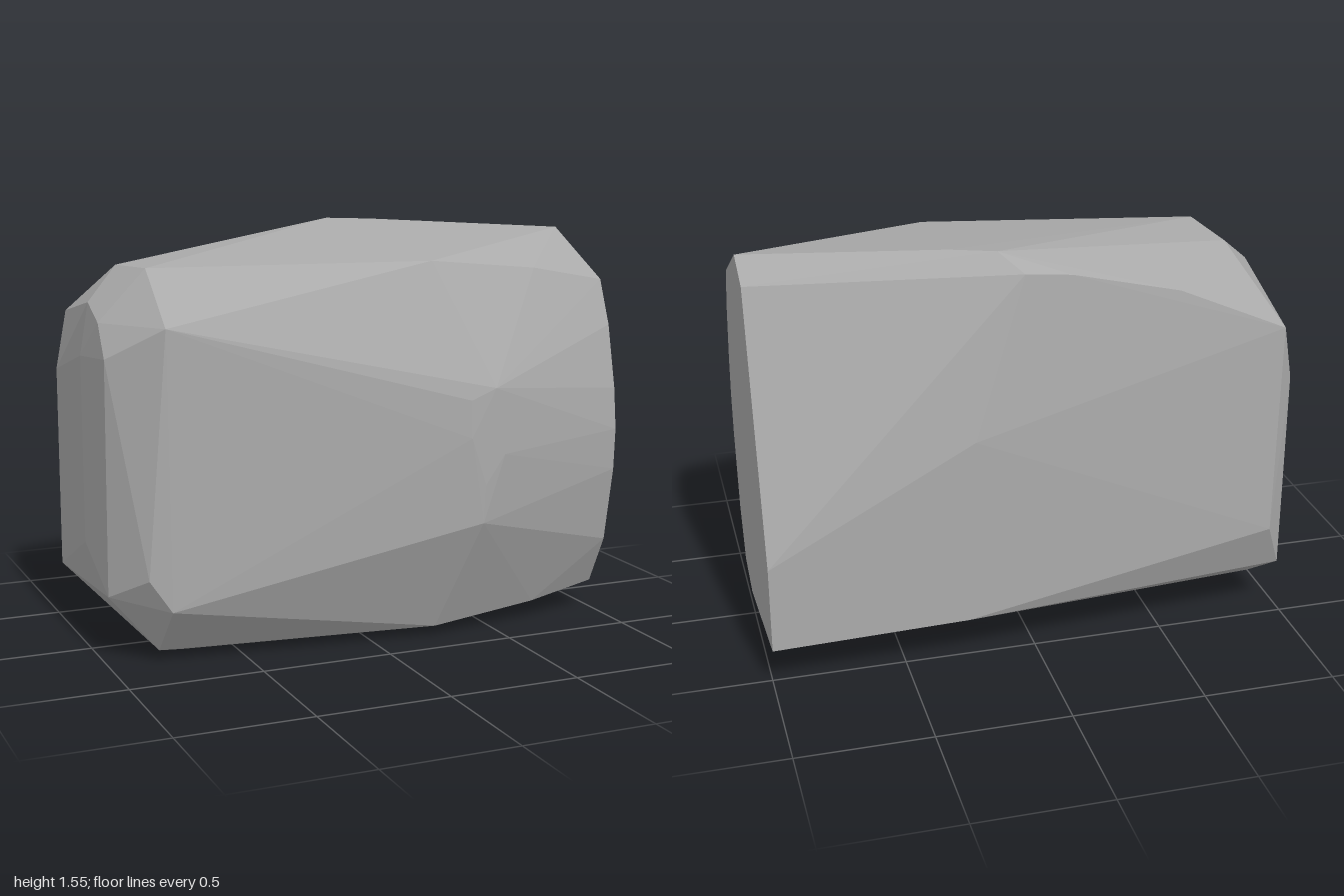
import * as THREE from 'three';
import { ConvexGeometry } from 'three/addons/geometries/ConvexGeometry.js';

// Flat cut end at x = 1, as [y, z] corners
const cutEnd = [
  [1.51, -0.085], [1.45, -0.26], [0.49, -0.56], [0.16, -0.56], [0.055, 0.07], [0.11, 0.25],
  [0.305, 0.35], [0.6, 0.405], [0.76, 0.413], [0.92, 0.395], [1.16, 0.34], [1.33, 0.27],
].map(([y, z]) => [1, y, z]);

// Blunt nose on the front side
const frontBulge = [
  [0.4, 0.98, 0.55], [0.3, 0.94, 0.55], [0.3, 0.8, 0.557],
  [0.44, 0.73, 0.55], [0.36, 0.62, 0.555], [0.355, 0.475, 0.55],
];

// Crown: front rim, ridge and the curved rear rim
const crown = [
  [0.23, 1.435, 0.345], [0.68, 1.39, 0.31], [0.12, 1.55, -0.4], [0.28, 1.547, -0.33],
  [0.04, 1.485, -0.48], [-0.13, 1.47, -0.485], [-0.53, 1.38, -0.5], [-0.93, 1.21, -0.53],
];

// Underside and lower back
const base = [
  [0.25, 0.04, 0.365], [0.7, 0.073, 0.31], [0.35, 0.005, 0.1], [0.35, 0, -0.12],
  [0.23, 0.01, -0.28], [0.27, 0.18, -0.56], [0.24, 0.9, -0.56], [-0.71, 0.027, 0.22],
];

// Chamfered corners around the far end
const chamferedEnd = [
  [-0.81, 0.04, 0.24], [-0.8, 0.22, 0.385], [-0.88, 0.34, 0.37], [-0.81, 1.24, 0.39],
  [-0.81, 1.43, 0.16], [-0.84, 1.42, -0.12], [-0.98, 1.3, 0], [-0.98, 1.24, 0.13],
  [-0.985, 1.12, 0.22], [-0.985, 0.25, 0.2], [-1, 1.1, -0.05], [-1, 0.4, -0.05],
  [-0.985, 0.99, -0.48], [-0.985, 0.46, -0.48], [-0.985, 0.21, -0.48], [-0.91, 0.4, -0.557],
  [-0.9, 0.14, -0.4], [-0.81, 0.07, -0.1],
];

export function createModel() {
  const group = new THREE.Group();
  group.name = 'rock';
  const stone = new THREE.MeshStandardMaterial({ color: 0xaaaaaa });
  stone.name = 'stone grey';

  // One faceted boulder wrapped tightly around its corners
  const corners = [...cutEnd, ...frontBulge, ...crown, ...base, ...chamferedEnd]
    .map((p) => new THREE.Vector3(...p));
  const boulder = new THREE.Mesh(new ConvexGeometry(corners), stone);
  boulder.name = 'boulder';
  group.add(boulder);
  return group;
}
